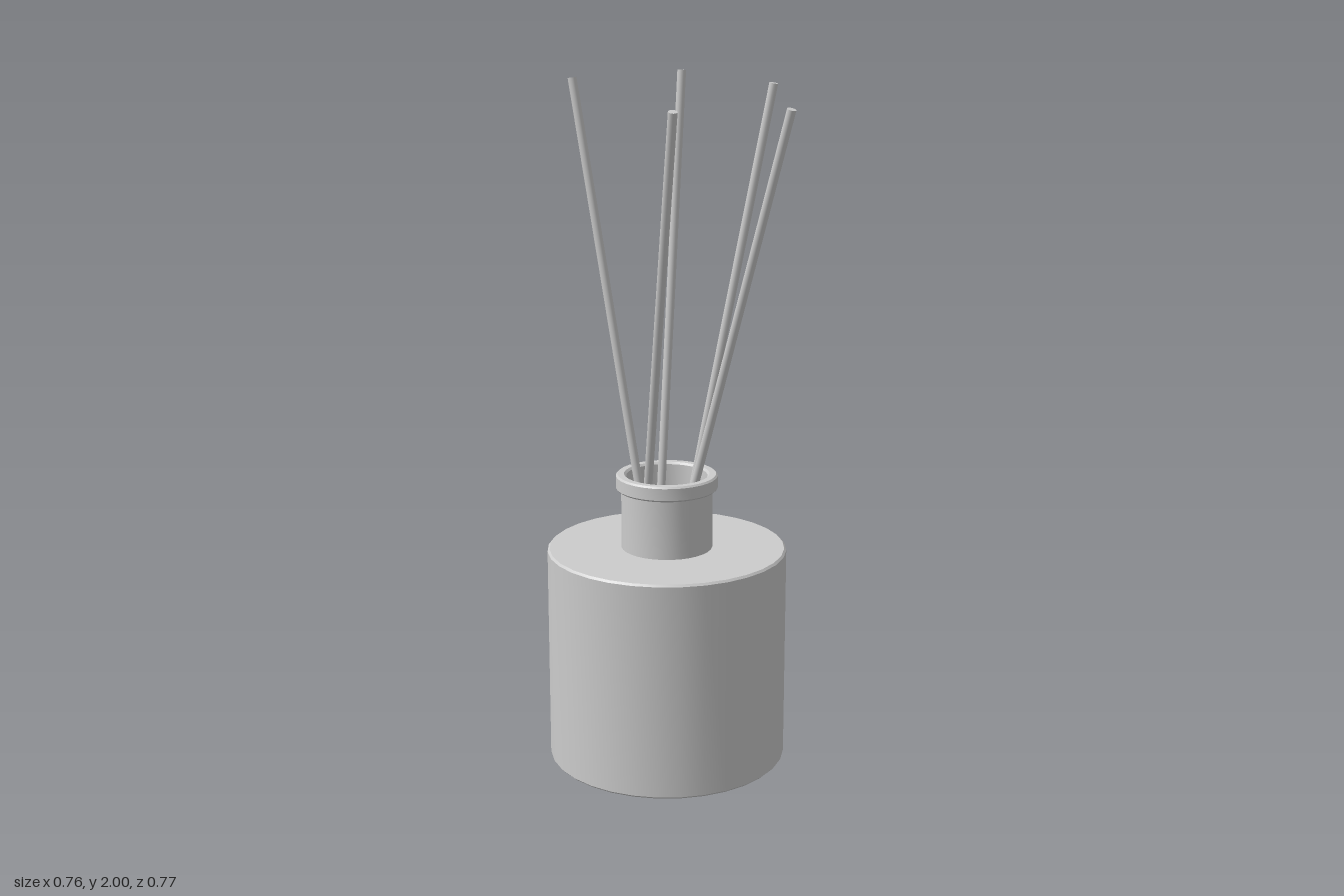
import * as THREE from 'three';
import { toCreasedNormals } from 'three/addons/utils/BufferGeometryUtils.js';

const CX = -0.03, CZ = -0.037; // bottle axis
const grey = new THREE.MeshStandardMaterial({ color: 0xcccccc });

function lathe(name, profile) {
  const points = profile.map(([r, y]) => new THREE.Vector2(r, y));
  const geometry = toCreasedNormals(new THREE.LatheGeometry(points, 32), 0.5);
  const mesh = new THREE.Mesh(geometry, grey);
  mesh.name = name;
  mesh.position.set(CX, 0, CZ);
  return mesh;
}

// Straight round stick between two points
function stick(name, bottom, top, radius) {
  const a = new THREE.Vector3(...bottom), b = new THREE.Vector3(...top);
  const dir = b.clone().sub(a);
  const mesh = new THREE.Mesh(new THREE.CylinderGeometry(radius, radius, dir.length(), 16), grey);
  mesh.name = name;
  mesh.position.copy(a).add(b).multiplyScalar(0.5);
  mesh.quaternion.setFromUnitVectors(new THREE.Vector3(0, 1, 0), dir.normalize());
  return mesh;
}

export function createModel() {
  const model = new THREE.Group();
  model.name = 'reedDiffuser';

  // Hollow bottle: outside from the base up to the mouth, then down the inside
  model.add(lathe('bottle', [
    [0, 0], [0.343, 0], [0.349, 0.006],
    [0.349, 0.634], [0.343, 0.64],
    [0.133, 0.64], [0.133, 0.815],
    [0.143, 0.815], [0.148, 0.82], [0.148, 0.855], [0.143, 0.86],
    [0.124, 0.86], [0.118, 0.854],
    [0.118, 0.62], [0.33, 0.62], [0.33, 0.03], [0, 0.03],
  ]));

  // Reeds: lower end, upper end
  const reeds = [
    [[-0.066, 0.47, -0.057], [-0.31, 1.98, -0.057]],
    [[-0.085, 0.45, -0.107], [-0.032, 1.998, -0.199]],
    [[-0.118, 0.47, -0.062], [0.105, 1.925, 0.373]],
    [[-0.04, 0.46, -0.125], [0.257, 1.972, -0.098]],
    [[-0.045, 0.48, -0.092], [0.366, 1.922, 0.171]],
  ];
  const group = new THREE.Group();
  group.name = 'reeds';
  reeds.forEach(([a, b], i) => group.add(stick(`reed${i + 1}`, a, b, 0.0125)));
  model.add(group);
  return model;
}
